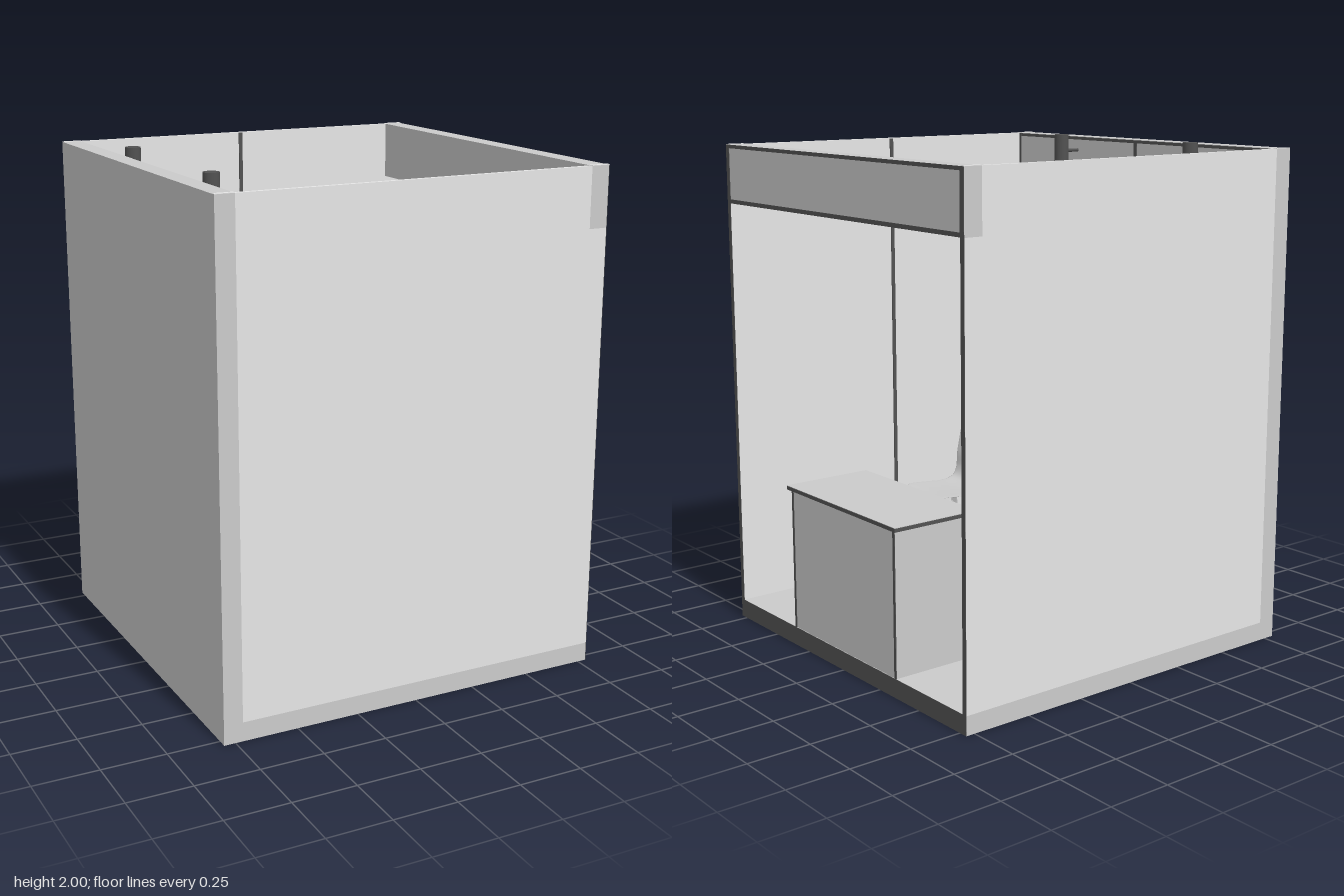
import * as THREE from 'three';
import { ParametricGeometry } from 'three/addons/geometries/ParametricGeometry.js';

const panel = new THREE.MeshStandardMaterial({ color: 0xe6e6e6 });
panel.name = 'light grey panel';
const frame = new THREE.MeshStandardMaterial({ color: 0xcbcbcb, side: THREE.DoubleSide });
frame.name = 'mid grey';
const dark = new THREE.MeshStandardMaterial({ color: 0x525252 });
dark.name = 'dark grey trim';

function add(parent, name, geometry, material) {
  const mesh = new THREE.Mesh(geometry, material);
  mesh.name = name;
  parent.add(mesh);
  return mesh;
}

// Box given by its limits on each axis
function box(parent, name, material, [x0, x1], [y0, y1], [z0, z1]) {
  const mesh = add(parent, name, new THREE.BoxGeometry(x1 - x0, y1 - y0, z1 - z0), material);
  mesh.position.set((x0 + x1) / 2, (y0 + y1) / 2, (z0 + z1) / 2);
  return mesh;
}

const L = -0.795, R = 0.787, IN = -0.72, HX = 0.71; // back wall, opening and header limits in x
const FACE = R - 0.002; // face behind the thin front trim
const Z = 0.787, ZI = 0.77, FLOOR = 0.075, HY = 1.755, TOP = 1.989;

function makeBooth() {
  const g = new THREE.Group();
  g.name = 'booth';

  box(g, 'floor', frame, [IN, FACE], [0, FLOOR], [-Z, Z]);
  box(g, 'threshold', dark, [FACE, R], [0, FLOOR], [-Z, Z]);
  box(g, 'backWall', frame, [L, IN], [0, TOP], [-Z, Z]);

  // Header over the opening, framed with dark trim on its face
  box(g, 'header', frame, [HX, FACE], [HY, TOP], [-Z, Z]);
  box(g, 'headerBottomTrim', dark, [FACE, R], [HY, HY + 0.016], [-Z, Z]);
  box(g, 'headerTopTrim', dark, [FACE, R], [TOP - 0.014, TOP], [-Z, Z]);

  // Side wall outline, notched for the header
  const outline = new THREE.Shape([
    [IN, FLOOR], [FACE, FLOOR], [FACE, HY], [HX, HY], [HX, TOP], [IN, TOP],
  ].map(([x, y]) => new THREE.Vector2(x, y)));
  const wallGeo = new THREE.ExtrudeGeometry(outline, { depth: Z - ZI, bevelEnabled: false });

  for (const s of [-1, 1]) {
    const span = (a, b) => (s > 0 ? [a, b] : [-b, -a]);
    add(g, 'sideWall', wallGeo, panel).position.z = s > 0 ? ZI : -Z;
    for (const x of [[L, IN], [HX, R]]) box(g, 'cornerCap', panel, x, [TOP, TOP + 0.002], span(ZI, Z));
    box(g, 'headerSideTrim', dark, [FACE, R], [HY + 0.016, TOP - 0.014], span(Z - 0.022, Z));
    box(g, 'openingJamb', dark, [FACE, R], [FLOOR, HY], span(Z - 0.02, Z));
    box(g, 'sideBatten', dark, [-0.013, 0.003], [FLOOR, TOP - 0.002], span(ZI - 0.004, ZI));
    box(g, 'cornerStrip', dark, [IN, IN + 0.004], [FLOOR, TOP - 0.002], span(ZI - 0.012, ZI));
  }
  box(g, 'backBatten', dark, [IN, IN + 0.004], [FLOOR, TOP - 0.002], [-0.008, 0.008]);
  box(g, 'backTopStrip', dark, [IN, IN + 0.002], [TOP - 0.014, TOP - 0.002], [-ZI, ZI]);
  return g;
}

function makeTable() {
  const g = new THREE.Group();
  g.name = 'table';
  box(g, 'tableTop', dark, [0.418, 0.795], [0.648, 0.663], [-0.375, 0.375]);
  box(g, 'tableSurface', frame, [0.418, 0.795], [0.663, 0.665], [-0.375, 0.375]);
  box(g, 'frontPanel', frame, [0.768, 0.783], [FLOOR, 0.648], [-0.345, 0.345]);
  for (const s of [-1, 1]) {
    const z = [s * 0.35 - 0.006, s * 0.35 + 0.006];
    box(g, 'sidePanel', frame, [0.434, 0.782], [FLOOR, 0.648], z);
    box(g, 'sidePanelFrontEdge', dark, [0.782, 0.785], [FLOOR, 0.648], z);
    box(g, 'sidePanelBackEdge', dark, [0.431, 0.434], [FLOOR, 0.648], z);
  }
  return g;
}

// Chair shell centre line: x, y and half width from front lip to top of back
const shellLine = new THREE.CatmullRomCurve3([
  [0.161, 0.516, 0], [0.16, 0.517, 0.08], [0.15, 0.521, 0.122], [0.115, 0.525, 0.142],
  [0.03, 0.518, 0.148], [-0.06, 0.511, 0.15], [-0.115, 0.522, 0.15], [-0.145, 0.565, 0.149],
  [-0.163, 0.66, 0.144], [-0.178, 0.76, 0.135], [-0.186, 0.822, 0.122], [-0.189, 0.852, 0.092],
  [-0.19, 0.86, 0],
].map((p) => new THREE.Vector3(...p)));

function shellPoint(u, v, target) {
  const p = shellLine.getPoint(v);
  const a = u * Math.PI * 2;
  const s = Math.cos(a);
  const back = THREE.MathUtils.smoothstep(p.y, 0.505, 0.64); // 0 on the seat, 1 on the back
  const t = 0.006 * Math.sin(a);
  target.set(p.x + back * (t + 0.02 * s * s), p.y + (1 - back) * (t + 0.008 * s * s), s * p.z);
}

const shellGeo = new ParametricGeometry(shellPoint, 32, 72);

function makeChair(z) {
  const g = new THREE.Group();
  g.name = 'chair';
  add(g, 'chairShell', shellGeo, frame);
  // Splayed square-section legs bending in under the seat
  for (const sz of [-1, 1]) {
    for (const [foot, knee] of [[0.146, 0.105], [-0.16, -0.1]]) {
      const path = new THREE.CatmullRomCurve3([
        new THREE.Vector3(foot, FLOOR, sz * 0.15),
        new THREE.Vector3((foot + knee) / 2, 0.28, sz * 0.134),
        new THREE.Vector3(knee, 0.465, sz * 0.118),
        new THREE.Vector3(knee * 0.85, 0.49, sz * 0.098),
        new THREE.Vector3(knee * 0.2, 0.497, sz * 0.012),
      ]);
      const legGeo = new THREE.TubeGeometry(path, 28, 0.0135, 4).toNonIndexed();
      legGeo.computeVertexNormals();
      add(g, 'chairLeg', legGeo, frame);
    }
  }
  g.position.z = z;
  return g;
}

function makeLamp(z) {
  const g = new THREE.Group();
  g.name = 'wallLamp';
  add(g, 'lampBody', new THREE.CylinderGeometry(0.031, 0.031, 0.155, 24), dark).position.set(-0.627, 1.9225, 0);
  const arm = add(g, 'lampArm', new THREE.CylinderGeometry(0.007, 0.007, 0.09, 12), dark);
  arm.rotation.z = Math.PI / 2;
  arm.position.set(-0.675, 1.93, 0);
  g.position.z = z;
  return g;
}

export function createModel() {
  const model = new THREE.Group();
  model.name = 'meetingBooth';
  model.add(makeBooth(), makeTable());
  for (const z of [-0.338, 0.344]) model.add(makeChair(z));
  for (const z of [-0.414, 0.37]) model.add(makeLamp(z));
  return model;
}
